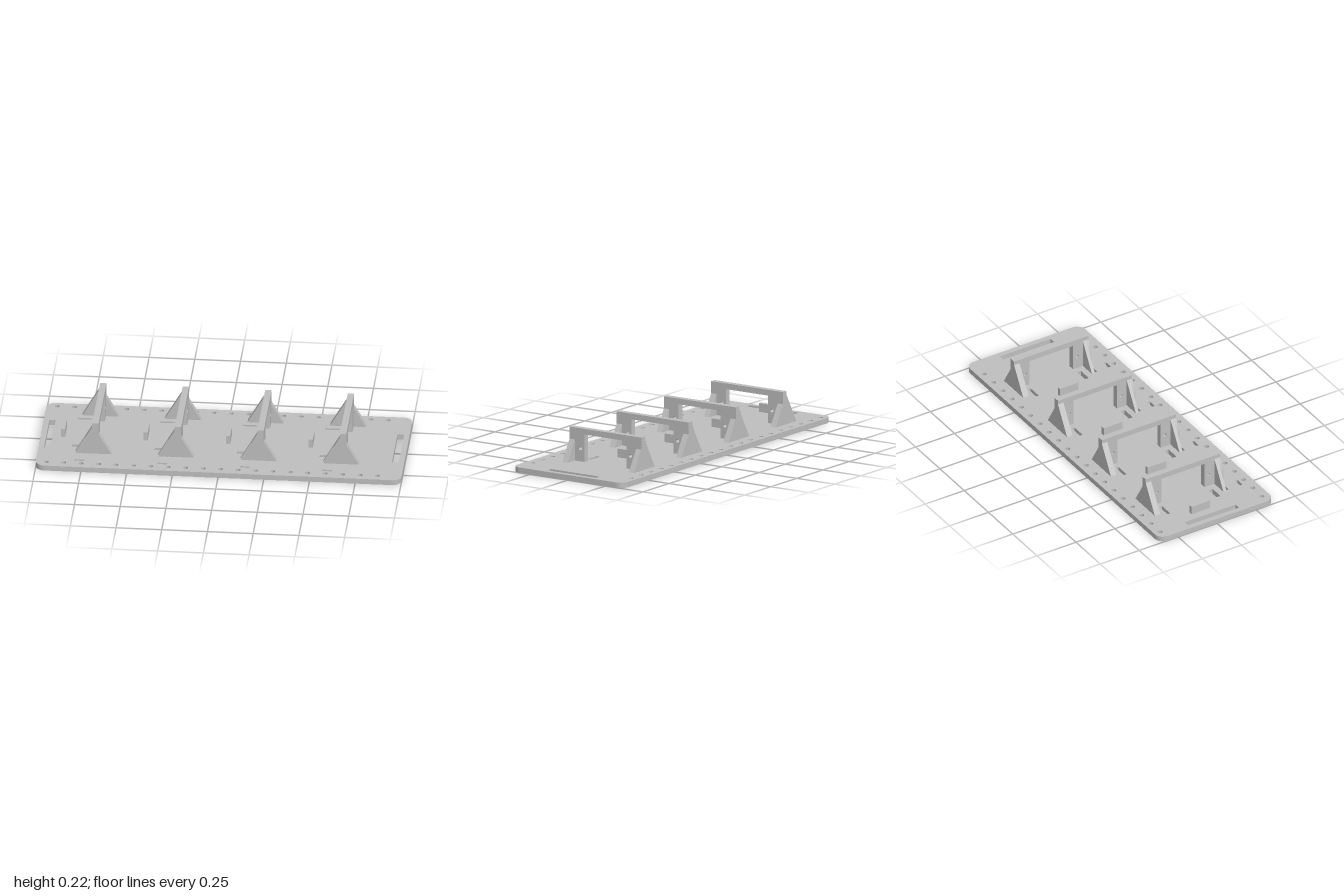
import * as THREE from 'three';
import { toCreasedNormals } from 'three/addons/utils/BufferGeometryUtils.js';

const T = 0.03; // plate thickness

const polygon = (pts) => new THREE.Shape(pts.map(([x, y]) => new THREE.Vector2(x, y)));

function rectHole(x0, x1, y0, y1) {
  return new THREE.Path([[x0, y0], [x0, y1], [x1, y1], [x1, y0]].map(([x, y]) => new THREE.Vector2(x, y)));
}

function roundHole(x, y, r) {
  return new THREE.Path().absarc(x, y, r, 0, Math.PI * 2, true);
}

function extrude(shape, depth) {
  const g = new THREE.ExtrudeGeometry(shape, { depth, bevelEnabled: false, curveSegments: 10 });
  return toCreasedNormals(g, 0.7);
}

export function createModel() {
  const group = new THREE.Group();
  const grey = new THREE.MeshStandardMaterial({ color: 0xbfbfbf });
  grey.name = 'light grey';
  const add = (name, geometry, parent) => {
    const mesh = new THREE.Mesh(geometry, grey);
    mesh.name = name;
    parent.add(mesh);
  };

  const stations = [0, 1, 2, 3].map((i) => -0.685 + i * 0.4515);

  // Base plate with rounded corners; shape y becomes world z
  const w = 1, d = 0.368, r = 0.05;
  const plate = new THREE.Shape();
  plate.absarc(w - r, d - r, r, 0, Math.PI / 2);
  plate.absarc(-w + r, d - r, r, Math.PI / 2, Math.PI);
  plate.absarc(-w + r, -d + r, r, Math.PI, Math.PI * 1.5);
  plate.absarc(w - r, -d + r, r, Math.PI * 1.5, Math.PI * 2);
  plate.closePath();

  // Rows of screw holes along both long edges
  for (let i = 0; i < 20; i++) {
    for (const z of [-0.33, 0.323]) plate.holes.push(roundHole(-0.943 + i * 0.0953, z, 0.0135));
  }
  // Long slots at the ends
  plate.holes.push(rectHole(-0.97, -0.935, -0.167, 0.158), rectHole(0.933, 0.97, -0.167, 0.158));
  // Strap slots beside each bracket
  for (const x of stations) {
    plate.holes.push(
      rectHole(x - 0.135, x - 0.053, -0.206, -0.189),
      rectHole(x - 0.135, x - 0.053, 0.107, 0.133),
      rectHole(x - 0.105, x - 0.053, 0.187, 0.205),
      rectHole(x - 0.105, x - 0.053, 0.278, 0.294),
    );
  }
  add('basePlate', extrude(plate, T).rotateX(Math.PI / 2).translate(0, T, 0), group);

  // Arched frame, drawn with shape x = -z, then turned to span the depth
  const arch = polygon([[-0.203, T], [-0.105, T], [-0.105, 0.183], [0.173, 0.183],
    [0.173, T], [0.273, T], [0.273, 0.215], [-0.203, 0.215]]);
  arch.holes.push(roundHole(-0.131, 0.103, 0.0105), roundHole(0.2, 0.103, 0.0105));
  const archGeometry = extrude(arch, 0.035).rotateY(Math.PI / 2).translate(-0.0175, 0, 0);

  // Triangular side braces
  const outerBrace = polygon([[0.0175, T], [0.087, T], [0.0175, 0.148]]);
  const innerBrace = polygon([[-0.111, T], [-0.0175, T], [-0.0175, 0.192]]);
  // Part of the brace left beside the slot that passes through it
  const cutBrace = polygon([[-0.053, T], [-0.0175, T], [-0.0175, 0.192], [-0.053, 0.13]]);
  const braces = {
    rearOuterBrace: extrude(outerBrace, 0.035).translate(0, 0, -0.273),
    rearInnerBrace: extrude(innerBrace, 0.035).translate(0, 0, -0.273),
    frontOuterBrace: extrude(outerBrace, 0.035).translate(0, 0, 0.168),
    frontInnerBrace: extrude(innerBrace, 0.019).translate(0, 0, 0.168),
    frontCutBrace: extrude(cutBrace, 0.016).translate(0, 0, 0.187),
  };

  // Small stop block beside the bracket
  const stopGeometry = new THREE.BoxGeometry(0.022, 0.048, 0.12).translate(-0.193, T + 0.024, -0.035);

  for (const x of stations) {
    const bracket = new THREE.Group();
    bracket.name = 'bracket';
    bracket.position.x = x;
    add('archFrame', archGeometry, bracket);
    for (const [name, geometry] of Object.entries(braces)) add(name, geometry, bracket);
    add('stopBlock', stopGeometry, bracket);
    group.add(bracket);
  }
  return group;
}
